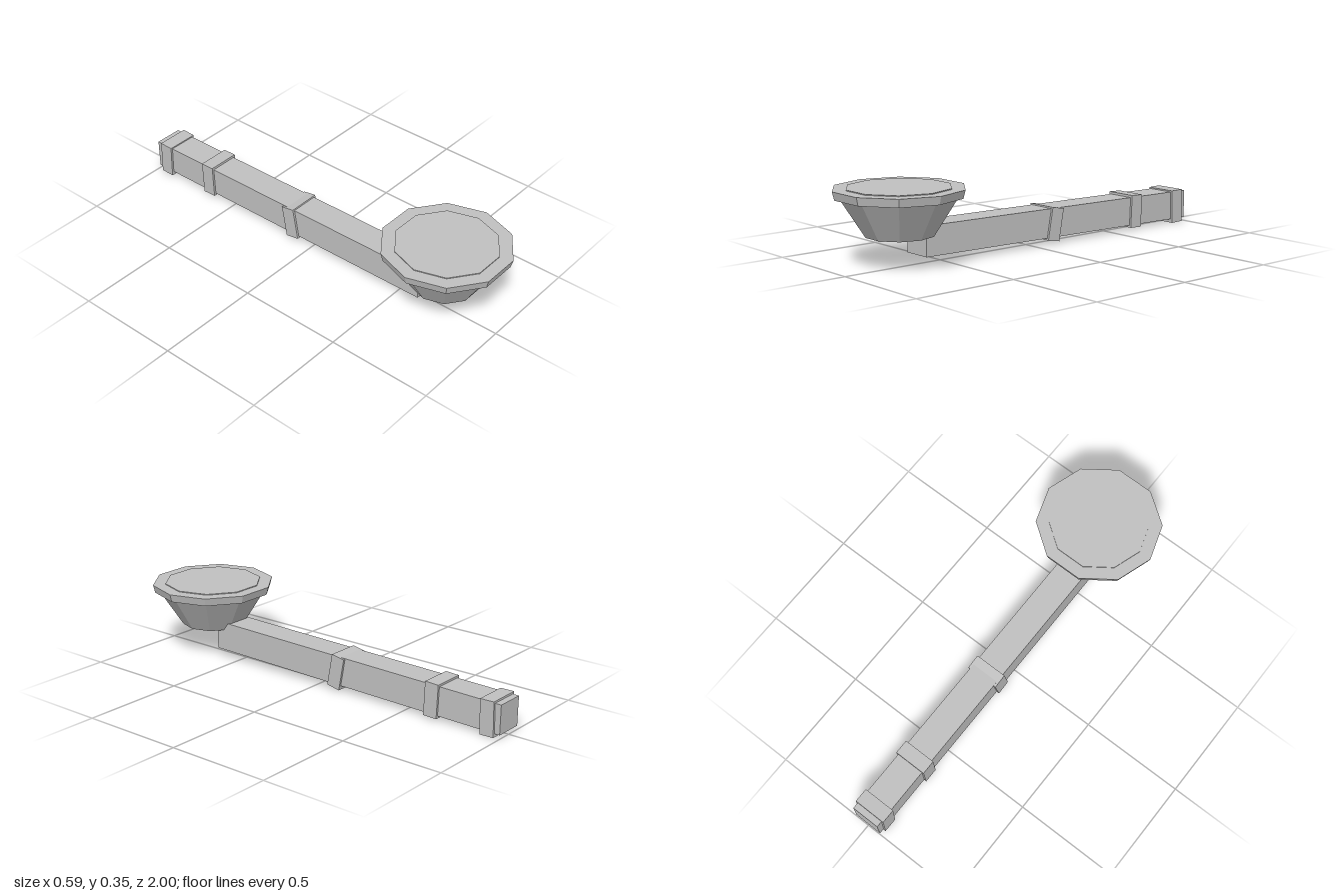
import * as THREE from 'three';

export function createModel() {
  const model = new THREE.Group();
  const grey = new THREE.MeshStandardMaterial({ color: 0xc0c0c0, flatShading: true });
  grey.name = 'plain grey';

  const add = (name, geometry, x, y, z, tilt = 0) => {
    const mesh = new THREE.Mesh(geometry, grey);
    mesh.name = name;
    mesh.position.set(x, y, z);
    mesh.rotation.x = tilt;
    model.add(mesh);
  };

  // Ten-sided bowl stack: body, rim and fill, each from a bottom to a top height
  const bowlZ = 0.715;
  const tier = (name, rTop, rBottom, y0, y1) =>
    add(name, new THREE.CylinderGeometry(rTop, rBottom, y1 - y0, 10, 1, false, Math.PI / 2),
      0, (y0 + y1) / 2, bowlZ);
  tier('bowl', 0.262, 0.153, 0.14, 0.312);
  tier('bowlRim', 0.295, 0.285, 0.31, 0.348);
  tier('bowlFill', 0.234, 0.234, 0.344, 0.352);

  // Square stem, sloping slightly down to the back
  add('stem', new THREE.BoxGeometry(0.138, 0.138, 1.624), 0, 0.098, -0.1875, -0.0145);

  // Bands around the stem: height, centre y, centre z, tilt
  [
    [0.156, 0.0925, -0.119, -0.178],
    [0.16, 0.091, -0.649, -0.04],
    [0.163, 0.0825, -0.937, 0.02],
  ].forEach(([h, y, z, tilt], i) =>
    add(`stemBand${i + 1}`, new THREE.BoxGeometry(0.158, h, 0.069), 0, y, z, tilt));

  return model;
}
